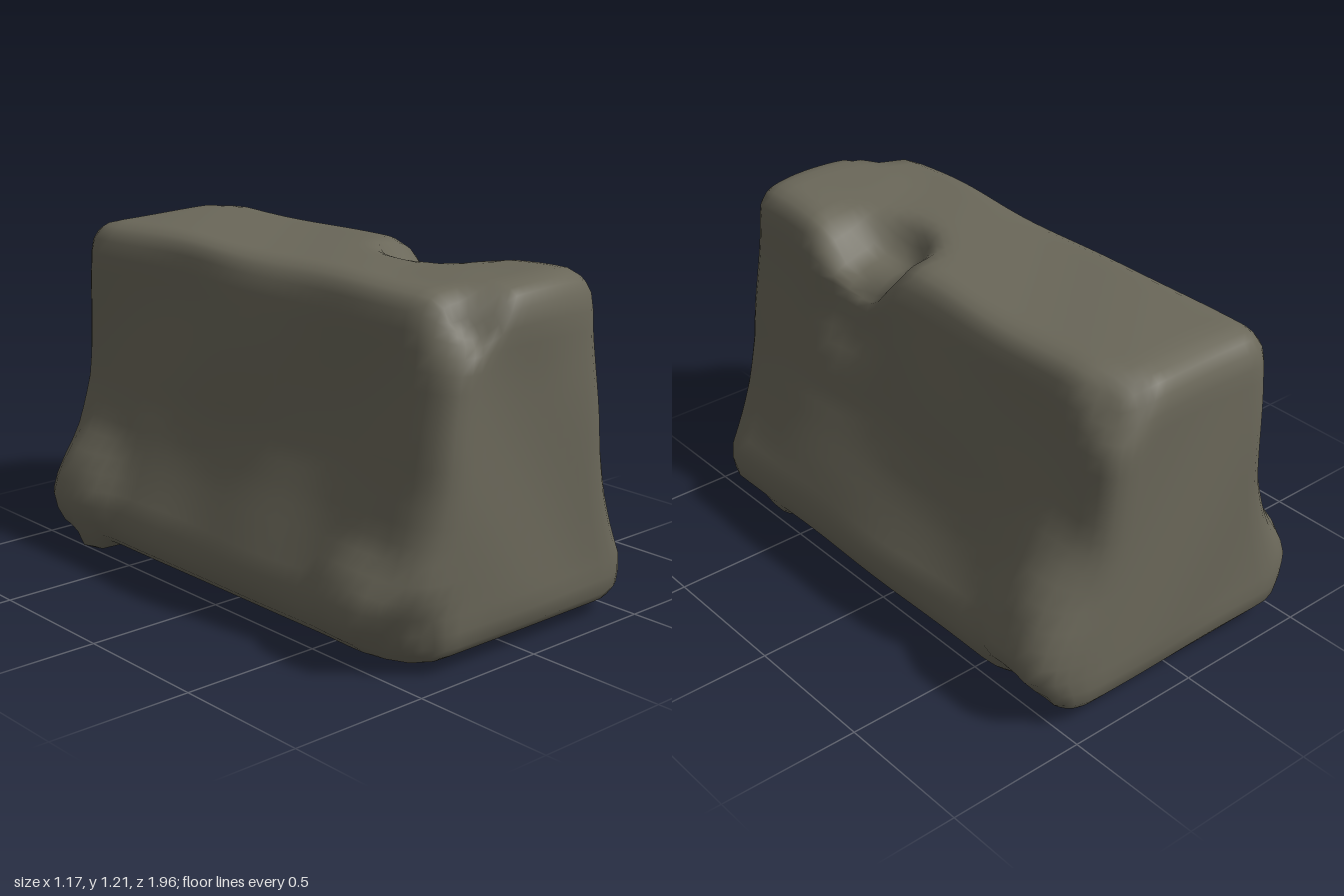
import * as THREE from 'three';
import { mergeVertices } from 'three/addons/utils/BufferGeometryUtils.js';

// Half width of the boulder at each height: [y, halfWidth]
const FLANK = [[0, 0.53], [0.2, 0.535], [0.32, 0.485], [0.45, 0.435], [0.6, 0.393],
  [0.85, 0.362], [1.0, 0.345], [1.2, 0.328]];

// Local lumps and dents: centre, radius, push
const LUMPS = [
  { at: [0.5, 0.3, -0.78], r: 0.2, push: [0.075, 0, 0] },          // rear lump, left flank
  { at: [0.4, 0.52, -0.76], r: 0.14, push: [0.02, 0.03, 0] },
  { at: [0.5, 0.1, -0.76], r: 0.12, push: [-0.05, 0, 0] },         // undercut below it
  { at: [-0.53, 0.22, 0.69], r: 0.16, push: [-0.045, 0.02, 0] },   // front lump, right flank
  { at: [-0.52, 0.25, -0.75], r: 0.18, push: [-0.06, 0, 0] },      // rear lump, right flank
  { at: [0.26, 1.18, 0.33], r: 0.18, push: [-0.06, -0.13, 0] },    // notch in the top edge
  { at: [0.35, 0.92, 0.34], r: 0.16, push: [-0.04, 0, 0] },
  { at: [0.05, 1.18, 0.78], r: 0.25, push: [0, 0.02, 0.02] },      // front brow
  { at: [-0.22, 1.15, 0.93], r: 0.1, push: [0, -0.05, -0.02] },
  { at: [-0.34, 1.14, 0.96], r: 0.14, push: [0.04, -0.03, -0.03] }, // broken corners
  { at: [0.34, 1.16, -0.95], r: 0.15, push: [-0.04, -0.03, 0.03] },
  { at: [-0.52, 0.1, 0.95], r: 0.15, push: [0.06, 0, -0.04] },
  { at: [0.45, 0.03, 0.65], r: 0.07, push: [0, -0.04, 0] },        // tips under the base
  { at: [-0.48, 0.03, -0.72], r: 0.07, push: [-0.03, -0.04, 0] },
];

function halfWidth(y) {
  for (let i = 1; i < FLANK.length; i++) {
    const [y0, w0] = FLANK[i - 1], [y1, w1] = FLANK[i];
    if (y <= y1) return THREE.MathUtils.lerp(w0, w1, Math.max(0, (y - y0) / (y1 - y0)));
  }
  return FLANK[FLANK.length - 1][1];
}

// Pull the edges and corners of a box in to elliptical rounds
function roundCorners(p, half, radii) {
  const inner = half.clone().sub(radii);
  const core = p.clone().clamp(inner.clone().negate(), inner);
  const d = p.clone().sub(core).divide(radii);
  const reach = Math.max(Math.abs(d.x), Math.abs(d.y), Math.abs(d.z));
  if (reach > 0) d.setLength(reach);
  return core.add(d.multiply(radii));
}

function boulderGeometry() {
  const half = new THREE.Vector3(0.5, 0.577, 0.965);
  const radii = new THREE.Vector3(0.14, 0.1, 0.12);
  const box = new THREE.BoxGeometry(half.x * 2, half.y * 2, half.z * 2, 18, 20, 34);
  box.deleteAttribute('normal');
  box.deleteAttribute('uv');
  const geometry = mergeVertices(box, 1e-4);
  const pos = geometry.attributes.position;
  const p = new THREE.Vector3();
  for (let i = 0; i < pos.count; i++) {
    p.copy(roundCorners(p.fromBufferAttribute(pos, i), half, radii));
    p.y += half.y + 0.03;
    p.x *= halfWidth(p.y) / half.x;
    const start = p.clone();
    const { x, y, z } = start;

    // Gentle weathering, fading out on the flat underside
    const fade = THREE.MathUtils.smoothstep(y, 0.03, 0.2);
    const side = THREE.MathUtils.clamp(x / 0.35, -1, 1);
    p.x += side * fade * 0.007 * (Math.sin(z * 9 + y * 3 + side) + Math.sin(y * 9 - z * 5));
    p.z += Math.sign(z) * THREE.MathUtils.smoothstep(Math.abs(z), 0.8, 0.96) * fade
      * 0.007 * Math.sin(x * 9 + y * 6 + z);
    p.y += THREE.MathUtils.smoothstep(y, 1.0, 1.18) * 0.005 * Math.sin(z * 7 + x * 6);

    for (const { at, r, push } of LUMPS) {
      const d = start.distanceTo(new THREE.Vector3(...at)) / r;
      p.addScaledVector(new THREE.Vector3(...push), Math.exp(-(d ** 4)));
    }
    pos.setXYZ(i, p.x, Math.max(0, p.y), p.z);
  }
  geometry.computeVertexNormals();
  return geometry;
}

export function createModel() {
  const stone = new THREE.MeshStandardMaterial({ color: 0x6a6759 });
  stone.name = 'stone';

  const group = new THREE.Group();
  group.name = 'rock';
  const boulder = new THREE.Mesh(boulderGeometry(), stone);
  boulder.name = 'boulder';
  group.add(boulder);
  return group;
}
